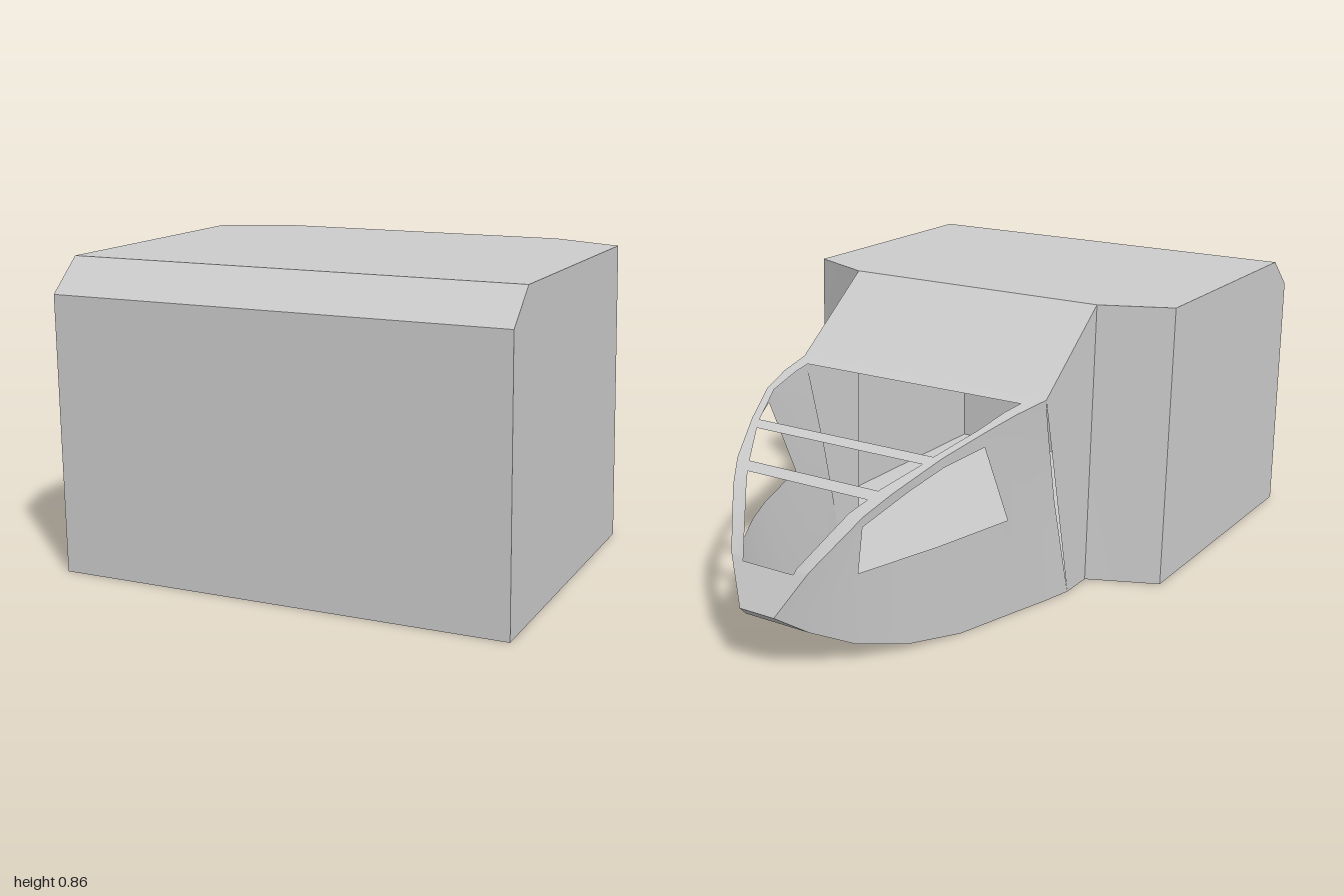
import * as THREE from 'three';
import { toCreasedNormals } from 'three/addons/utils/BufferGeometryUtils.js';

const material = new THREE.MeshStandardMaterial({ color: 0xcccccc, side: THREE.DoubleSide });

// Builds a thin shell from convex polygons of the +x half, mirrored to -x
function shell(name, polygons, crease) {
  const pos = [];
  for (const p of polygons) {
    for (let i = 1; i < p.length - 1; i++) {
      const tri = [p[0], p[i], p[i + 1]].map((c) => new THREE.Vector3(...c));
      if (new THREE.Triangle(...tri).getArea() < 1e-7) continue;
      for (const v of tri) pos.push(v.x, v.y, v.z);
      for (const v of tri.reverse()) pos.push(-v.x, v.y, v.z);
    }
  }
  const geo = new THREE.BufferGeometry();
  geo.setAttribute('position', new THREE.Float32BufferAttribute(pos, 3));
  const mesh = new THREE.Mesh(toCreasedNormals(geo, crease), material);
  mesh.name = name;
  return mesh;
}

// Linear lookup in a table of [z, value...] rows with falling z
function lookup(table, z, k = 1) {
  if (z >= table[0][0]) return table[0][k];
  for (let i = 1; i < table.length; i++) {
    const a = table[i - 1], b = table[i];
    if (z >= b[0]) return THREE.MathUtils.mapLinear(z, a[0], b[0], a[k], b[k]);
  }
  return table[table.length - 1][k];
}

// Nose edges: [z, half width, height]
const topEdge = [[-0.238, 0.43, 0.64], [-0.36, 0.408, 0.627], [-0.476, 0.381, 0.604], [-0.61, 0.327, 0.557],
  [-0.75, 0.265, 0.49], [-0.82, 0.222, 0.44], [-0.94, 0.132, 0.305], [-1, 0.058, 0.18]];
const bottomEdge = [[-0.09, 0.43, 0], [-0.19, 0.405, 0], [-0.29, 0.375, 0], [-0.5, 0.315, 0],
  [-0.67, 0.25, 0.02], [-0.81, 0.18, 0.06], [-0.92, 0.11, 0.12], [-1, 0.058, 0.18]];
// Lower and upper line of the side window, continued to both ends: [z, y]
const sillLine = [[-0.163, 0.31], [-0.26, 0.31], [-0.36, 0.31], [-0.6, 0.297], [-0.7, 0.29], [-0.82, 0.275], [-0.925, 0.19], [-1, 0.18]];
const headLine = [[-0.22, 0.56], [-0.35, 0.57], [-0.476, 0.56], [-0.6, 0.53], [-0.7, 0.485], [-0.82, 0.41], [-0.935, 0.28], [-1, 0.18]];
// Edge of the roof openings: [z, half width]
const openingEdge = [[-0.29, 0.377], [-0.476, 0.355], [-0.61, 0.3], [-0.64, 0.285],
  [-0.751, 0.22], [-0.778, 0.205], [-0.947, 0.085], [-1, 0.04]];

// Side wall half width, narrower towards the floor
function wallPoint(z, y) {
  if (z >= -0.09 - 0.232 * y) return [0.43, y, z];
  const low = lookup(bottomEdge, z, 2), high = lookup(topEdge, z, 2);
  const t = high - low > 1e-4 ? THREE.MathUtils.clamp((y - low) / (high - low), 0, 1) : 0;
  return [THREE.MathUtils.lerp(lookup(bottomEdge, z), lookup(topEdge, z), t), y, z];
}

function noseWalls() {
  const columns = topEdge.map(([zt, xt, yt], i) => {
    const [zb, xb, yb] = bottomEdge[i];
    return [[xb, yb, zb], wallPoint(...sillLine[i]), wallPoint(...headLine[i]), [xt, yt, zt]];
  });
  const cells = [];
  for (let i = 0; i < columns.length - 1; i++) {
    const a = columns[i], b = columns[i + 1];
    for (let j = 0; j < 3; j++) {
      const isWindow = j === 1 && i >= 2 && i <= 4;
      if (!isWindow) cells.push([a[j], b[j], b[j + 1], a[j + 1]]);
    }
  }
  return cells;
}

function noseFloor() {
  return bottomEdge.slice(1).map(([z, x, y], i) => {
    const [z0, x0, y0] = bottomEdge[i];
    return [[0, y0, z0], [0, y, z], [x, y, z], [x0, y0, z0]];
  });
}

// Side rails plus the solid bands and crossbars between the openings
function noseRoof() {
  const solid = [[-0.238, -0.29], [-0.61, -0.64], [-0.751, -0.778], [-0.947, -1]];
  const stations = [...new Set([...topEdge.map((r) => r[0]), ...solid.flat()])].sort((a, b) => b - a);
  const cells = [];
  for (let i = 0; i < stations.length - 1; i++) {
    const z0 = stations[i], z1 = stations[i + 1];
    const at = (x, z) => [x, lookup(topEdge, z, 2), z];
    const x0 = lookup(openingEdge, z0), x1 = lookup(openingEdge, z1);
    cells.push([at(x0, z0), at(lookup(topEdge, z0), z0), at(lookup(topEdge, z1), z1), at(x1, z1)]);
    if (solid.some(([a, b]) => z0 <= a && z1 >= b)) cells.push([at(0, z0), at(x0, z0), at(x1, z1), at(0, z1)]);
  }
  return cells;
}

export function createModel() {
  const model = new THREE.Group();
  model.name = 'cabin';
  const w = 0.64, n = 0.43, h = 0.855, c = 0.765;

  // Wide hollow compartment with a chamfered upper edge and tapered shoulders
  model.add(shell('compartment', [
    [[0, 0, 1], [w, 0, 1], [w, c, 1], [0, c, 1]],
    [[0, c, 1], [w, c, 1], [w, h, 0.9], [0, h, 0.9]],
    [[0, h, 0.9], [w, h, 0.9], [w, h, 0.138], [n, h, 0.05], [0, h, 0.05]],
    [[0, 0, 1], [0, 0, 0.02], [n, 0, 0.02], [w, 0, 0.11], [w, 0, 1]],
    [[w, 0, 1], [w, 0, 0.11], [w, h, 0.138], [w, h, 0.9], [w, c, 1]],
    [[w, 0, 0.11], [n, 0, 0.02], [n, h, 0.05], [w, h, 0.138]],
  ], 0.1));

  // Narrow neck with a sloping roof
  model.add(shell('neck', [
    [[n, 0, 0.02], [n, 0, -0.09], [n, 0.64, -0.238], [n, h, 0.05]],
    [[0, 0, 0.02], [0, 0, -0.09], [n, 0, -0.09], [n, 0, 0.02]],
    [[0, h, 0.05], [n, h, 0.05], [n, 0.64, -0.238], [0, 0.64, -0.238]],
  ], 0.1));

  // Rounded nose with side windows and three roof openings
  model.add(shell('noseWalls', noseWalls(), 0.6));
  model.add(shell('noseFloor', noseFloor(), 0.6));
  model.add(shell('noseRoofFrame', noseRoof(), 0.6));
  return model;
}
